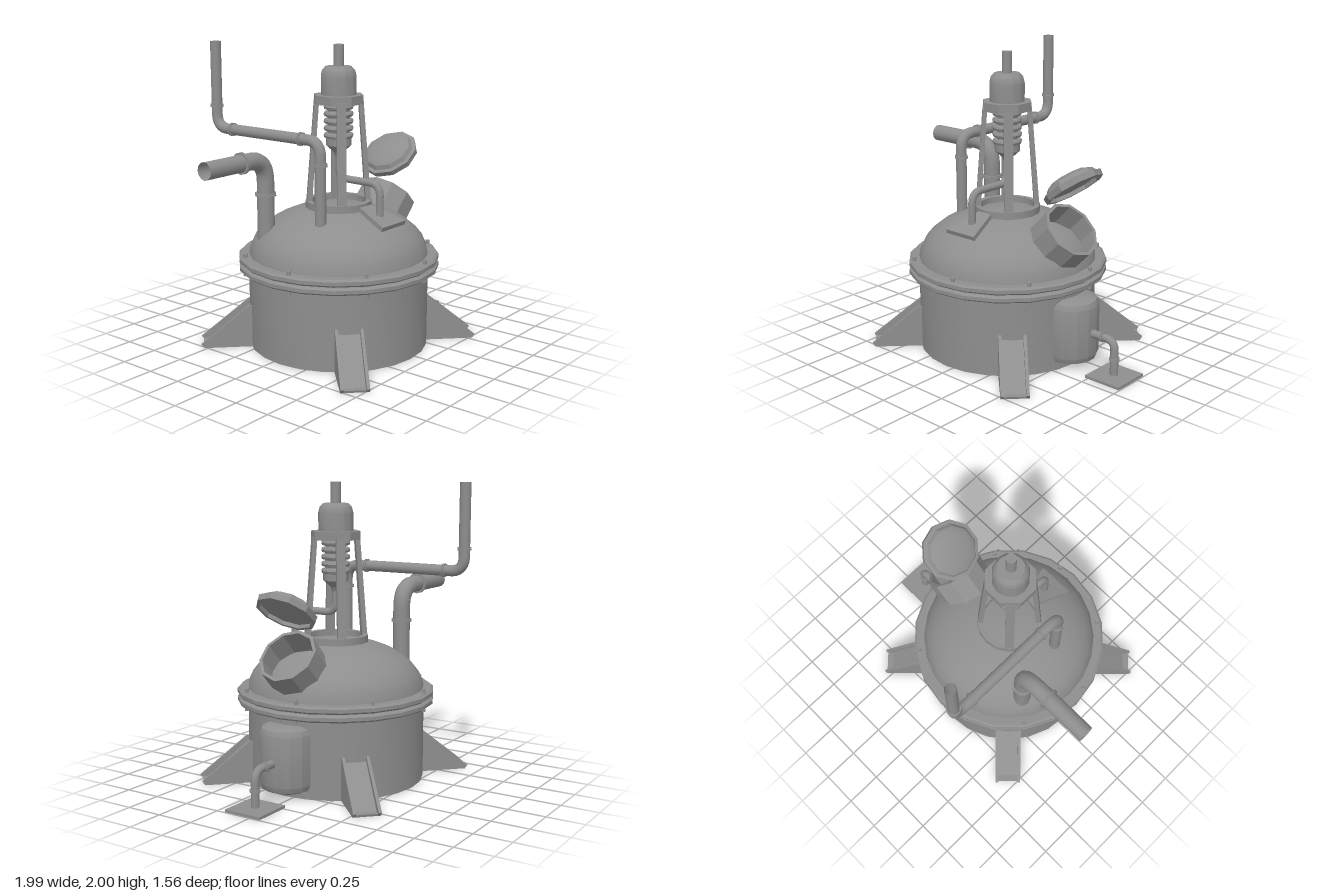
import * as THREE from 'three';
import { toCreasedNormals } from 'three/addons/utils/BufferGeometryUtils.js';

const CX = -0.055, CZ = 0.06; // vessel axis
const steel = new THREE.MeshStandardMaterial({ color: 0x8e8e8e, side: THREE.DoubleSide });
steel.name = 'steel grey';

const V = (x, y, z) => new THREE.Vector3(x, y, z);

function add(parent, name, geometry, x = 0, y = 0, z = 0) {
  const mesh = new THREE.Mesh(toCreasedNormals(geometry, 0.55), steel);
  mesh.name = name;
  mesh.position.set(x, y, z);
  parent.add(mesh);
  return mesh;
}

function group(parent, name, x, y, z) {
  const g = new THREE.Group();
  g.name = name;
  g.position.set(x, y, z);
  parent.add(g);
  return g;
}

function lathe(points, sides) {
  return new THREE.LatheGeometry(points.map(([r, y]) => new THREE.Vector2(r, y)), sides);
}

// Pipe through corner points with rounded bends
function pipe(parent, name, corners, radius, bend) {
  const path = new THREE.CurvePath();
  let from = corners[0];
  for (let i = 1; i < corners.length - 1; i++) {
    const c = corners[i];
    const a = c.clone().add(corners[i - 1].clone().sub(c).setLength(bend));
    const b = c.clone().add(corners[i + 1].clone().sub(c).setLength(bend));
    path.add(new THREE.LineCurve3(from, a));
    path.add(new THREE.QuadraticBezierCurve3(a, c, b));
    from = b;
  }
  path.add(new THREE.LineCurve3(from, corners[corners.length - 1]));
  return add(parent, name, new THREE.TubeGeometry(path, 90, radius, 12, false));
}

// Pair of thin joint collars around a pipe, along the given axis
function joint(parent, axis, x, y, z, radius) {
  const g = group(parent, 'pipeJoint', x, y, z);
  if (axis === 'x') g.rotation.z = Math.PI / 2;
  if (axis === 'z') g.rotation.x = Math.PI / 2;
  for (const s of [-1, 1]) add(g, 'jointRing', new THREE.CylinderGeometry(radius, radius, 0.008, 12), 0, s * 0.006, 0);
}

// Side profile extruded to a given width, centred on z
function profile(points, width) {
  const shape = new THREE.Shape(points.map(([x, y]) => new THREE.Vector2(x, y)));
  return new THREE.ExtrudeGeometry(shape, { depth: width, bevelEnabled: false }).translate(0, 0, -width / 2);
}

export function createModel() {
  const model = new THREE.Group();
  model.name = 'distillationVessel';
  const body = group(model, 'vessel', CX, 0, CZ);

  // Open-bottomed shell
  add(body, 'shell', lathe([[0.56, 0.56], [0.56, 0], [0.6, 0], [0.6, 0.6]], 24));

  // Domed cover
  const dome = [];
  for (let i = 0; i <= 9; i++) {
    const a = (i / 9) * Math.PI / 2;
    dome.push([0.6 * Math.cos(a), 0.61 + 0.345 * Math.sin(a)]);
  }
  add(body, 'dome', lathe(dome, 24));

  // Pair of flanges with bolts
  for (const y of [0.522, 0.576]) {
    add(body, 'flange', lathe([[0.56, y], [0.655, y], [0.67, y + 0.012], [0.67, y + 0.036],
      [0.655, y + 0.048], [0.56, y + 0.048]], 20));
  }
  for (let i = 0; i < 8; i++) {
    const a = THREE.MathUtils.degToRad(9.4 - 45 * i);
    add(body, 'bolt', new THREE.CylinderGeometry(0.014, 0.014, 0.15, 6),
      0.635 * Math.cos(a), 0.575, -0.635 * Math.sin(a));
  }

  // Four channel-shaped feet on the diagonals
  for (let i = 0; i < 4; i++) {
    const foot = group(body, 'foot', 0, 0, 0);
    foot.rotation.y = Math.PI / 4 + i * Math.PI / 2;
    for (const s of [-1, 1]) {
      add(foot, 'footSide', profile([[0.565, 0], [0.91, 0], [0.928, 0.025], [0.605, 0.285], [0.565, 0.285]], 0.02), 0, 0, s * 0.08);
    }
    add(foot, 'footRamp', profile([[0.57, 0.25], [0.57, 0.225], [0.85, 0], [0.91, 0], [0.915, 0.015], [0.875, 0.015], [0.6, 0.25]], 0.15));
  }

  // Neck collar and tower struts
  add(body, 'neckCollar', lathe([[0.22, 0.88], [0.22, 0.978], [0.185, 0.978], [0.185, 0.9]], 16));
  for (let i = 0; i < 4; i++) {
    const holder = group(body, 'towerStrut', 0, 0, 0);
    holder.rotation.y = Math.PI / 4 + i * Math.PI / 2;
    add(holder, 'strut', profile([[0.18, 0.94], [0.215, 0.94], [0.16, 1.64], [0.13, 1.64]], 0.06));
  }

  // Tower head, motor cap and shaft
  const plate = add(body, 'headPlate', new THREE.CylinderGeometry(0.168, 0.168, 0.058, 8), 0, 1.648, 0);
  plate.rotation.y = Math.PI / 8;
  add(body, 'motorCap', lathe([[0.117, 1.67], [0.117, 1.8], [0.108, 1.835], [0.085, 1.86], [0, 1.862]], 12));
  add(body, 'shaft', new THREE.CylinderGeometry(0.034, 0.034, 0.15, 12), 0, 1.925, 0);

  // Finned condenser with funnel below
  add(body, 'condenser', lathe([[0.025, 1.27], [0.035, 1.3], [0.085, 1.345], [0.085, 1.4],
    [0.07, 1.41], [0.07, 1.63]], 12));
  for (let i = 0; i < 5; i++) {
    const fin = add(body, 'condenserFin', new THREE.TorusGeometry(0.08, 0.019, 8, 16), 0, 1.41 + i * 0.047, 0);
    fin.rotation.x = Math.PI / 2;
  }

  // Drip pipe bending forward to its base plate on the dome
  pipe(model, 'dripPipe', [V(CX, 1.3, CZ), V(CX, 1.125, CZ), V(CX, 1.125, 0.4), V(CX, 0.88, 0.4)], 0.025, 0.08);
  const pad = new THREE.BoxGeometry(1, 0.03, 0.25);
  const p = pad.attributes.position;
  for (let i = 0; i < p.count; i++) p.setX(i, p.getX(i) * (p.getZ(i) > 0 ? 0.25 : 0.11));
  add(model, 'dripPipePlate', pad, CX, 0.908, 0.395).rotation.x = 0.335;

  // Tilted hatch and its open lid
  const hatch = group(model, 'hatch', 0.504, 0.918, 0.064);
  hatch.rotation.z = -Math.PI / 4;
  add(hatch, 'hatchTube', lathe([[0.2, -0.27], [0.2, 0], [0.178, 0], [0.178, -0.25]], 10)).rotation.y = Math.PI / 10;
  const lid = group(model, 'hatchLid', 0.523, 1.183, 0.064);
  lid.rotation.z = 0.655;
  add(lid, 'lid', lathe([[0, 0.025], [0.175, 0.025], [0.178, 0], [0.2, 0], [0.205, 0.04], [0.18, 0.045],
    [0.165, 0.072], [0.125, 0.093], [0, 0.098]], 10)).rotation.y = Math.PI / 10;

  // Side tank with drain pipe and ground plate
  add(model, 'sideTank', lathe([[0, 0.04], [0.13, 0.04], [0.17, 0.058], [0.185, 0.095], [0.185, 0.425],
    [0.17, 0.458], [0.13, 0.476], [0, 0.476]], 14), 0.505, 0, 0.064);
  pipe(model, 'drainPipe', [V(0.66, 0.25, CZ), V(0.86, 0.25, CZ), V(0.86, 0.01, CZ)], 0.027, 0.07);
  joint(model, 'y', 0.86, 0.125, CZ, 0.034);
  joint(model, 'x', 0.765, 0.25, CZ, 0.034);
  add(model, 'groundPlate', new THREE.BoxGeometry(0.265, 0.018, 0.265), 0.862, 0.009, 0.06);

  // Tall vent pipe rising, running back and rising again
  const vx = -0.375;
  pipe(model, 'ventPipe', [V(vx, 0.82, 0.17), V(vx, 1.42, 0.17), V(vx, 1.42, -0.735), V(vx, 2, -0.735)], 0.037, 0.1);
  joint(model, 'y', vx, 1.27, 0.17, 0.045);
  joint(model, 'z', vx, 1.42, 0.01, 0.045);
  joint(model, 'z', vx, 1.42, -0.59, 0.045);
  joint(model, 'y', vx, 1.57, -0.735, 0.045);

  // Wide outlet pipe leaving sideways
  pipe(model, 'outletPipe', [V(-0.46, 0.74, -0.222), V(-0.46, 1.28, -0.222), V(-1, 1.28, -0.222)], 0.058, 0.15);
  joint(model, 'y', -0.46, 1.045, -0.222, 0.07);
  joint(model, 'x', -0.68, 1.28, -0.222, 0.072);

  return model;
}
